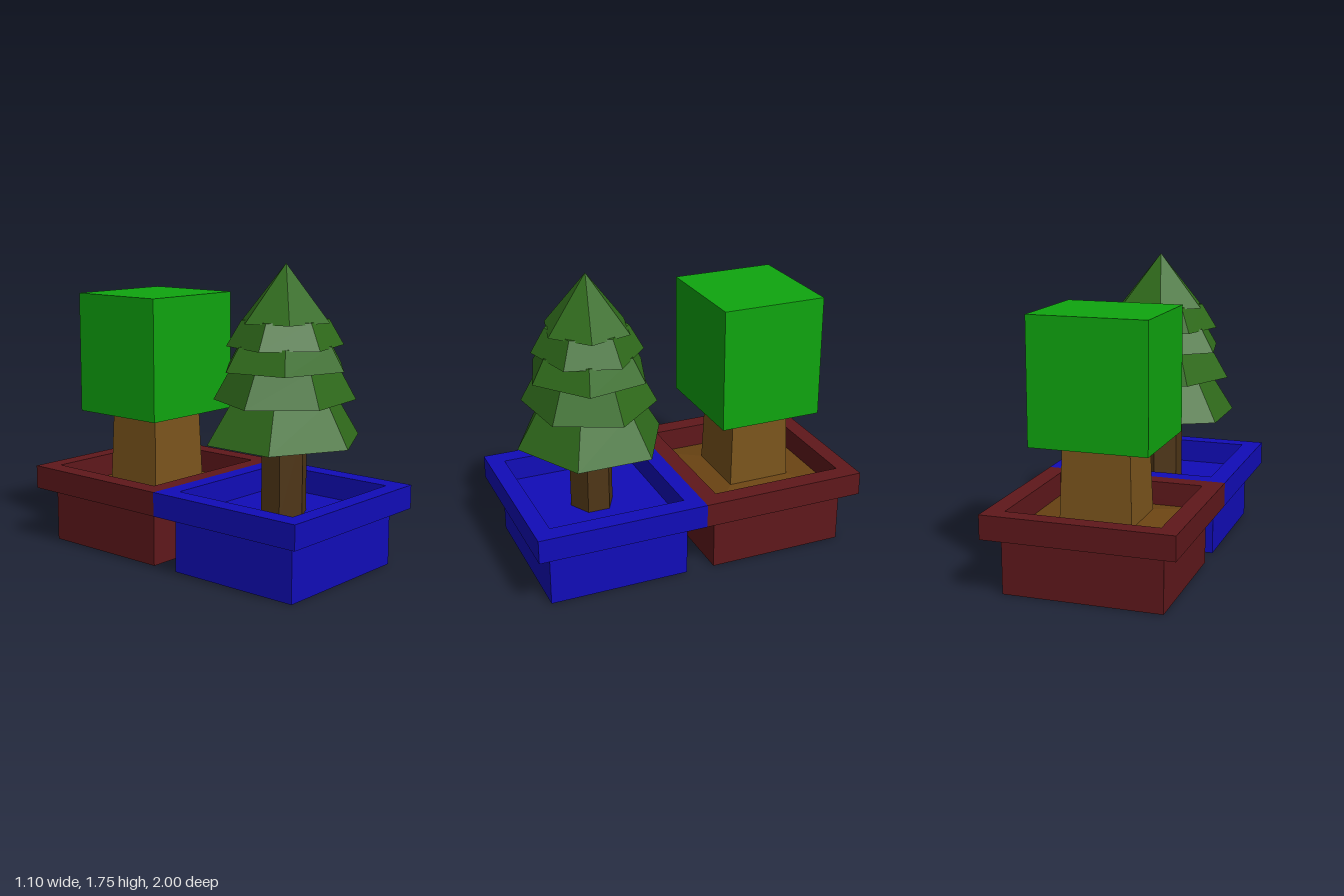
import * as THREE from 'three';

const mat = (color) => new THREE.MeshStandardMaterial({ color, flatShading: true });
const blue = mat(0x110cb8), red = mat(0x5f181b), bark = mat(0x7a541c);
const earth = mat(0x6b4413), darkBark = mat(0x4e3516), needles = mat(0x2f6a1b), leaf = mat(0x0fa50f);
const STRETCH = 1.1; // everything is slightly wider in x than in z

function add(group, name, geometry, material, y = 0) {
  const mesh = new THREE.Mesh(geometry, material);
  mesh.name = name;
  mesh.position.y = y;
  group.add(mesh);
  return mesh;
}

// Rectangular block standing on y = 0 whose top differs in size from its base
function taperedBlock(baseX, baseZ, topX, topZ, height) {
  const g = new THREE.BoxGeometry(baseX, height, baseZ).translate(0, height / 2, 0);
  const p = g.attributes.position;
  for (let i = 0; i < p.count; i++) {
    if (p.getY(i) > height / 2) p.setXYZ(i, Math.sign(p.getX(i)) * topX / 2, height, Math.sign(p.getZ(i)) * topZ / 2);
  }
  g.computeVertexNormals();
  return g;
}

function rectangle(path, hx, hz) {
  path.moveTo(-hx, -hz);
  path.lineTo(hx, -hz);
  path.lineTo(hx, hz);
  path.lineTo(-hx, hz);
  path.closePath();
  return path;
}

// Square planter: solid body with an open overhanging rim
function planter(name, material, z) {
  const pot = new THREE.Group();
  pot.name = name;
  pot.position.z = z;
  add(pot, 'potBody', taperedBlock(0.92, 0.83, 0.92, 0.83, 0.33), material);
  const outline = rectangle(new THREE.Shape(), 0.55, 0.5);
  outline.holes.push(rectangle(new THREE.Path(), 0.44, 0.4));
  const rim = new THREE.ExtrudeGeometry(outline, { depth: 0.14, bevelEnabled: false }).rotateX(-Math.PI / 2);
  add(pot, 'potRim', rim, material, 0.33);
  return pot;
}

export function createModel() {
  const model = new THREE.Group();
  model.name = 'pottedTrees';

  // Front planter with a layered conifer
  const front = planter('frontPlanter', blue, 0.5);
  const trunk = add(front, 'coniferTrunk', new THREE.CylinderGeometry(0.13, 0.13, 0.5, 6), darkBark, 0.58);
  trunk.scale.x = STRETCH;

  // Foliage tiers: base height, base radius, top radius, twist in degrees
  const tiers = [
    [0.755, 0.435, 0.295, 0],
    [0.985, 0.385, 0.285, -22],
    [1.165, 0.357, 0.28, 10.5],
    [1.29, 0.316, 0.235, -15],
    [1.425, 0.258, 0, 15],
  ];
  tiers.forEach(([y, radius, top, twist], i) => {
    const height = i < 4 ? tiers[i + 1][0] - y + 0.01 : 0.32;
    const g = new THREE.CylinderGeometry(top, radius, height, 6, 1, false, THREE.MathUtils.degToRad(twist));
    add(front, 'foliageTier' + (i + 1), g, needles, y + height / 2).scale.x = STRETCH;
  });

  // Back planter with a block-shaped tree on a low mound of soil
  const back = planter('backPlanter', red, -0.5);
  add(back, 'soil', taperedBlock(0.88, 0.8, 0.42, 0.38, 0.04), earth, 0.331);
  add(back, 'blockTreeTrunk', taperedBlock(0.42, 0.38, 0.39, 0.35, 0.45), bark, 0.365);
  add(back, 'blockTreeCrown', taperedBlock(0.68, 0.62, 0.68, 0.62, 0.72), leaf, 0.81);

  model.add(front, back);
  return model;
}
